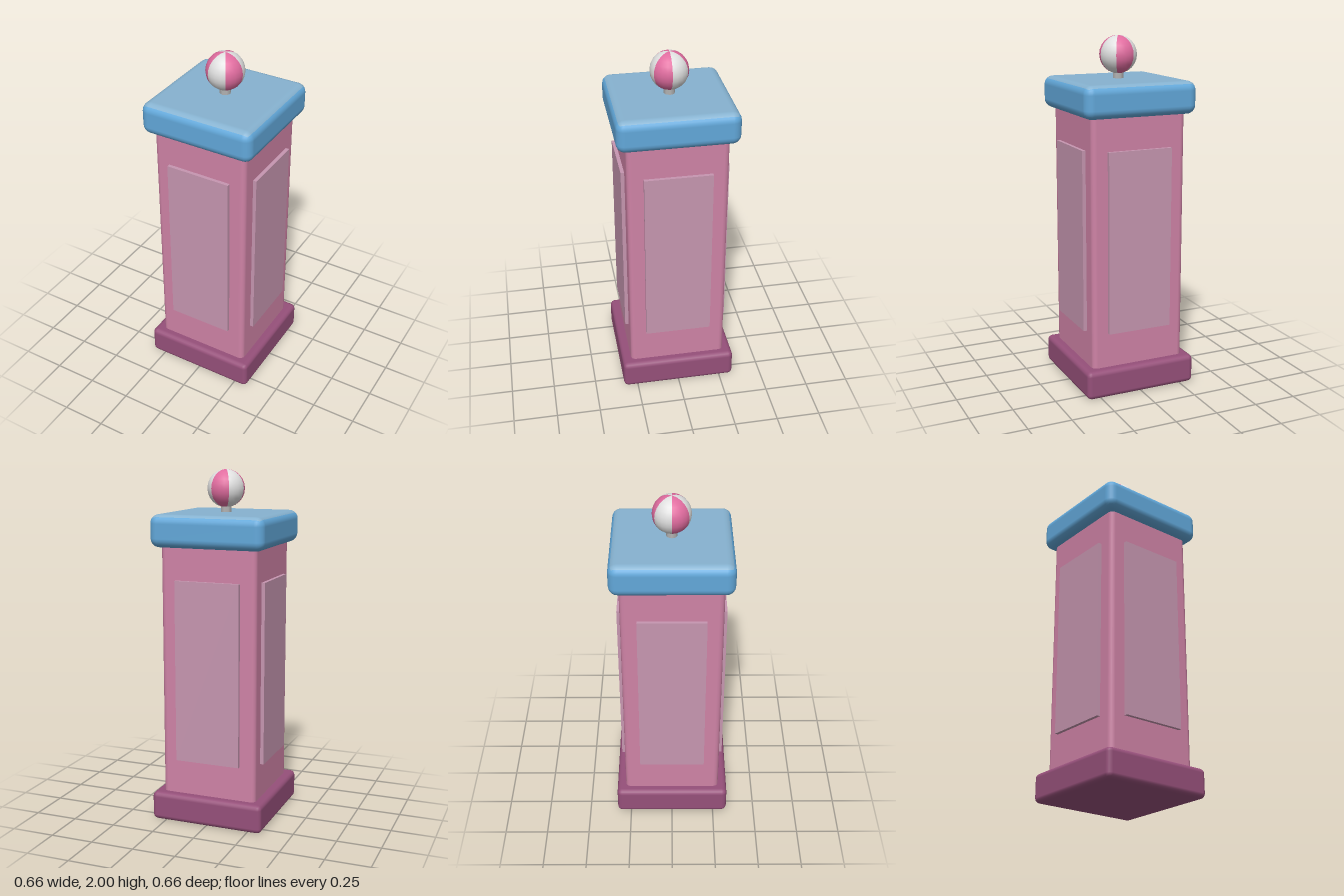
import * as THREE from 'three';
import { RoundedBoxGeometry } from 'three/addons/geometries/RoundedBoxGeometry.js';

const material = (name, color) => {
  const m = new THREE.MeshStandardMaterial({ color });
  m.name = name;
  return m;
};

export function createModel() {
  const group = new THREE.Group();
  const plum = material('plum', 0x96507a);
  const rose = material('rose', 0xcf83a6);
  const paleRose = material('paleRose', 0xc696b0);
  const blue = material('blue', 0x62a8da);
  const paleBlue = material('paleBlue', 0x86b2d0);
  const pink = material('pink', 0xe06c9f);
  const white = material('white', 0xe0e0e0);
  const grey = material('grey', 0xb4b4b4);

  const add = (name, geometry, mat, y, parent = group) => {
    const mesh = new THREE.Mesh(geometry, mat);
    mesh.name = name;
    mesh.position.y = y;
    parent.add(mesh);
    return mesh;
  };

  // Rounded slab between two heights
  const slab = (name, width, y0, y1, radius, segments, mat) =>
    add(name, new RoundedBoxGeometry(width, y1 - y0, width, segments, radius), mat, (y0 + y1) / 2);

  slab('base', 0.664, 0, 0.165, 0.028, 2, plum);
  slab('column', 0.56, 0.1, 1.64, 0.03, 2, rose);
  // Cap with a paler upper face (groups: +x, -x, +y, -y, +z, -z)
  slab('cap', 0.664, 1.58, 1.762, 0.05, 3, [blue, blue, paleBlue, blue, blue, blue]);

  // One raised panel on each side
  for (let i = 0; i < 4; i++) {
    const side = new THREE.Group();
    side.name = 'panelSide' + (i + 1);
    side.rotation.y = i * Math.PI / 2;
    const panel = add('panel', new THREE.BoxGeometry(0.378, 1.035, 0.04), paleRose, 0.883, side);
    panel.position.z = 0.28;
    group.add(side);
  }

  // Short post under the ball
  add('post', new THREE.CylinderGeometry(0.031, 0.031, 0.09, 8), grey, 1.785);

  // Ball of six alternating wedges
  const ball = new THREE.Group();
  ball.name = 'ball';
  ball.position.y = 1.894;
  group.add(ball);
  for (let i = 0; i < 6; i++) {
    const wedge = new THREE.SphereGeometry(0.106, 2, 12, i * Math.PI / 3, Math.PI / 3);
    // Sphere wedges need at least three segments, so rebuild with four
    add('ballWedge' + (i + 1), wedge.parameters.widthSegments < 3
      ? new THREE.SphereGeometry(0.106, 4, 12, i * Math.PI / 3, Math.PI / 3) : wedge,
    i % 2 ? white : pink, 0, ball);
  }
  return group;
}
